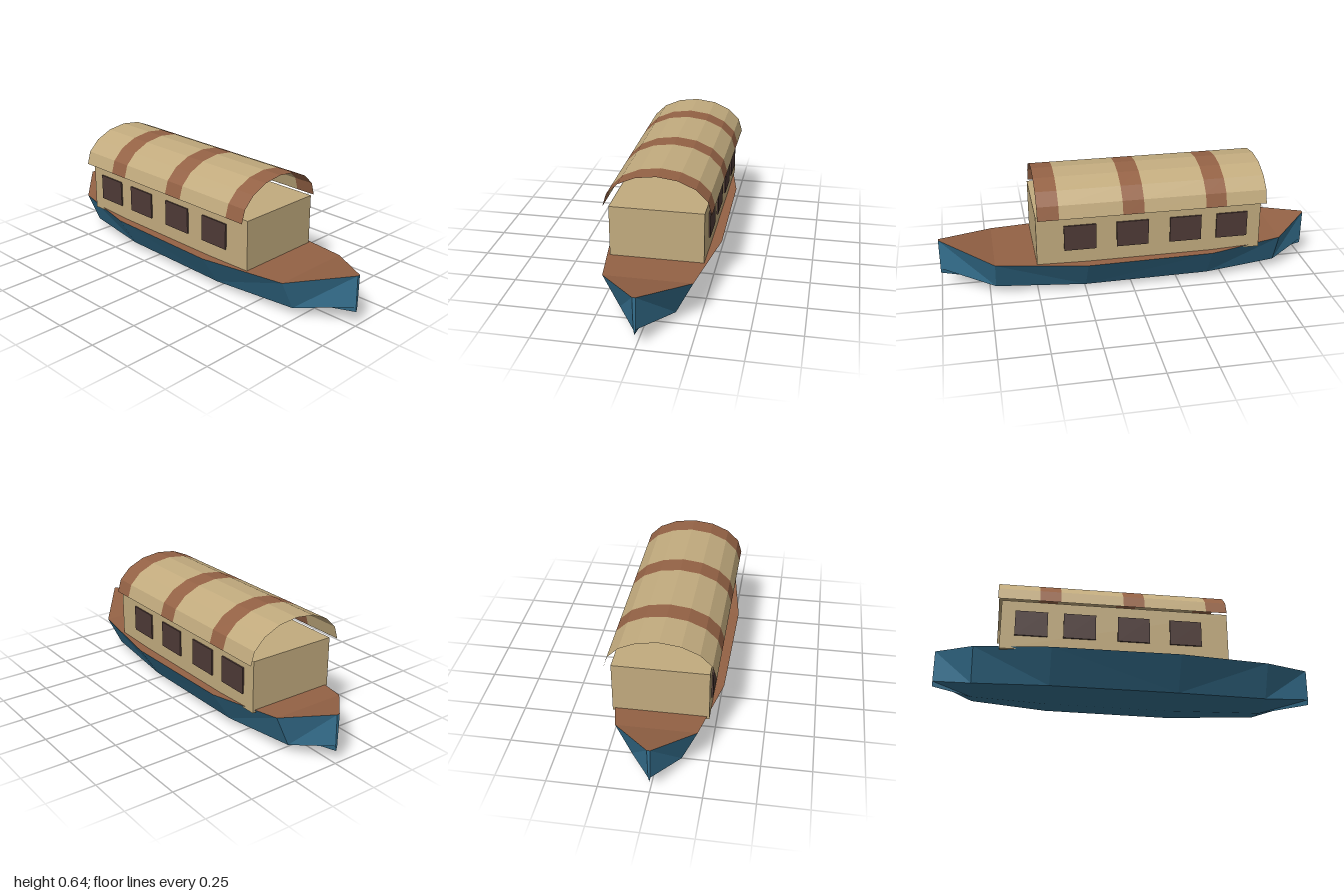
import * as THREE from 'three';

const tan = new THREE.MeshStandardMaterial({ color: 0xc2ab7e });
const tanRoof = tan;
const brown = new THREE.MeshStandardMaterial({ color: 0x946245 });
const blue = new THREE.MeshStandardMaterial({ color: 0x35708f });
const dark = new THREE.MeshStandardMaterial({ color: 0x4e3a36 });
tan.name = 'tan';
brown.name = 'brown';
blue.name = 'blue';
dark.name = 'darkWindow';
// the roof is an open shell, seen from both sides
tan.side = brown.side = THREE.DoubleSide;

// Faceted mesh from a list of corner points, three per triangle
function facetMesh(name, points, material) {
  const geometry = new THREE.BufferGeometry().setFromPoints(points);
  geometry.computeVertexNormals();
  const mesh = new THREE.Mesh(geometry, material);
  mesh.name = name;
  return mesh;
}

function box(name, material, [x0, x1], [y0, y1], [z0, z1]) {
  const mesh = new THREE.Mesh(new THREE.BoxGeometry(x1 - x0, y1 - y0, z1 - z0), material);
  mesh.position.set((x0 + x1) / 2, (y0 + y1) / 2, (z0 + z1) / 2);
  mesh.name = name;
  return mesh;
}

// Hull stations, bow to stern: z, gunwale x/y, chine x/y, keel y
const stations = [
  [1, 0.008, 0.272, 0.005, 0.105, 0.077],
  [0.72, 0.22, 0.207, 0.137, 0.042, 0.013],
  [0.25, 0.289, 0.197, 0.18, 0.03, 0],
  [-0.41, 0.28, 0.2, 0.175, 0.034, 0.004],
  [-0.8, 0.198, 0.217, 0.122, 0.047, 0.022],
  [-1, 0.008, 0.262, 0.005, 0.095, 0.068],
];

function buildHull() {
  const rings = stations.map(([z, gx, gy, cx, cy, ky]) =>
    [[gx, gy], [cx, cy], [0, ky], [-cx, cy], [-gx, gy]].map(([x, y]) => new THREE.Vector3(x, y, z)));
  const shell = [], deck = [];
  for (let i = 0; i < rings.length - 1; i++) {
    for (let j = 0; j < 5; j++) {
      const k = (j + 1) % 5;
      const a = rings[i][j], b = rings[i][k], c = rings[i + 1][k], d = rings[i + 1][j];
      const target = j === 4 ? deck : shell;
      // diagonals run up toward the ends, mirrored port to starboard
      if ((i < 2) === (j < 2)) target.push(a, b, c, a, c, d);
      else target.push(a, b, d, b, c, d);
    }
  }
  // narrow stem and stern posts
  const bow = rings[0], stern = rings[rings.length - 1];
  for (let j = 1; j < 4; j++) {
    shell.push(bow[0], bow[j + 1], bow[j]);
    shell.push(stern[0], stern[j], stern[j + 1]);
  }
  const group = new THREE.Group();
  group.name = 'hull';
  group.add(facetMesh('hullShell', shell, blue), facetMesh('deck', deck, brown));
  return group;
}

// Arched canopy cut into bands along its length
function buildRoof() {
  const group = new THREE.Group();
  group.name = 'roof';
  const cuts = [0.5, 0.39, 0.065, -0.045, -0.368, -0.476, -0.69];
  const sides = 8;
  const arch = (k, z) => {
    const t = (k / sides) * Math.PI;
    return new THREE.Vector3(0.27 * Math.cos(t), 0.46 + 0.178 * Math.sin(t), z);
  };
  for (let i = 0; i < cuts.length - 1; i++) {
    const points = [];
    for (let k = 0; k < sides; k++) {
      const a = arch(k, cuts[i]), b = arch(k, cuts[i + 1]);
      const c = arch(k + 1, cuts[i + 1]), d = arch(k + 1, cuts[i]);
      points.push(a, b, c, a, c, d);
    }
    const stripe = i % 2 === 0;
    group.add(facetMesh(stripe ? 'roofStripe' : 'roofPanel', points, stripe ? brown : tanRoof));
  }
  return group;
}

function buildCabin() {
  const group = new THREE.Group();
  group.name = 'cabin';
  group.add(box('cabinWalls', tan, [-0.237, 0.237], [0.197, 0.467], [-0.67, 0.507]));
  // four windows on each side
  for (const z of [0.283, 0.011, -0.268, -0.515]) {
    for (const side of [-1, 1]) {
      const x = side * 0.2405;
      group.add(box('window', dark, [x - 0.0045, x + 0.0045], [0.272, 0.409], [z - 0.083, z + 0.083]));
    }
  }
  return group;
}

export function createModel() {
  const model = new THREE.Group();
  model.name = 'houseboat';
  model.add(buildHull(), buildCabin(), buildRoof());
  return model;
}
